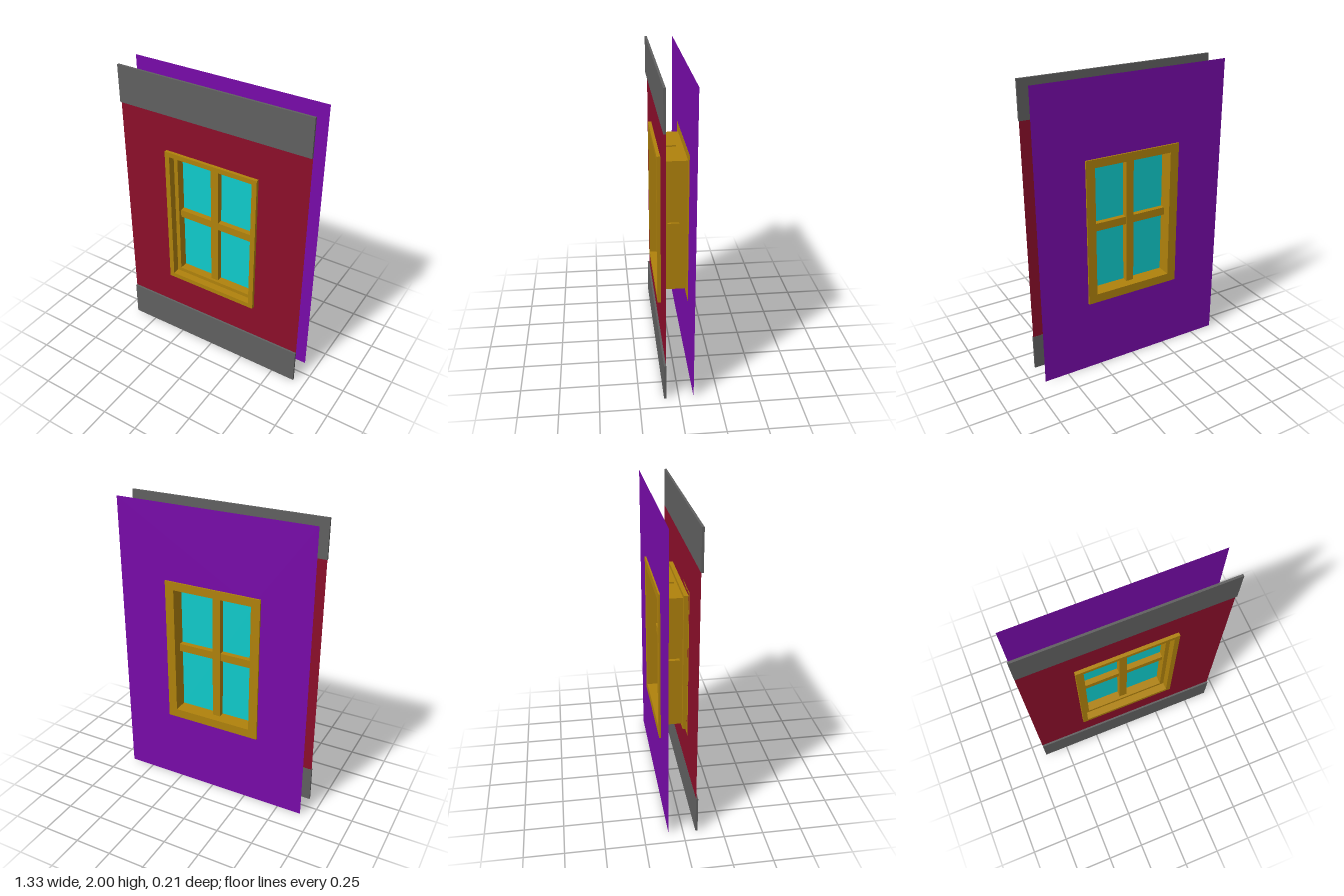
import * as THREE from 'three';

const material = (color) => new THREE.MeshStandardMaterial({ color, side: THREE.DoubleSide, flatShading: true });

// Rectangle given as [x0, y0, x1, y1]
const OUTER = [-0.333, 0.5, 0.333, 1.5];
const RECESS = [-0.3, 0.533, 0.3, 1.468];
const OPENING = [-0.272, 0.56, 0.272, 1.445];

function trace(path, [x0, y0, x1, y1]) {
  path.moveTo(x0, y0);
  path.lineTo(x1, y0);
  path.lineTo(x1, y1);
  path.lineTo(x0, y1);
  path.closePath();
  return path;
}

export function createModel() {
  const group = new THREE.Group();
  const wood = material(0xb0820c);
  const grey = material(0x606060);
  const red = material(0x8c0e2a);
  const purple = material(0x780aaa);
  const glass = material(0x10cccc);

  const add = (name, geometry, mat) => {
    const mesh = new THREE.Mesh(geometry, mat);
    mesh.name = name;
    group.add(mesh);
    return mesh;
  };

  // Flat sheet, optionally with a rectangular hole
  const sheet = (name, rect, hole, z, mat) => {
    const shape = trace(new THREE.Shape(), rect);
    if (hole) shape.holes.push(trace(new THREE.Path(), hole));
    add(name, new THREE.ShapeGeometry(shape).translate(0, 0, z), mat);
  };

  // Solid rectangular ring
  const ring = (name, rect, hole, z0, z1) => {
    const shape = trace(new THREE.Shape(), rect);
    shape.holes.push(trace(new THREE.Path(), hole));
    const geometry = new THREE.ExtrudeGeometry(shape, { depth: z1 - z0, bevelEnabled: false });
    add(name, geometry.translate(0, 0, z0), wood);
  };

  // Thin four-sided lining, open at both ends
  const lining = (name, [x0, y0, x1, y1], z0, z1) => {
    const geometry = new THREE.CylinderGeometry(Math.SQRT1_2, Math.SQRT1_2, 1, 4, 1, true)
      .rotateY(Math.PI / 4)
      .rotateX(Math.PI / 2)
      .scale(x1 - x0, y1 - y0, z1 - z0)
      .translate((x0 + x1) / 2, (y0 + y1) / 2, (z0 + z1) / 2);
    add(name, geometry, wood);
  };

  const box = (name, [x0, y0, x1, y1], z0, z1, mat) => {
    const geometry = new THREE.BoxGeometry(x1 - x0, y1 - y0, z1 - z0);
    geometry.translate((x0 + x1) / 2, (y0 + y1) / 2, (z0 + z1) / 2);
    add(name, geometry, mat);
  };

  // Outer and inner walls
  sheet('frontWall', [-0.667, 0.25, 0.667, 1.75], RECESS, 0.081, red);
  sheet('backWall', [-0.667, 0, 0.667, 2], OPENING, -0.093, purple);

  // Concrete bands above and below the front wall
  box('lowerBand', [-0.667, 0, 0.667, 0.25], 0.08, 0.094, grey);
  box('upperBand', [-0.667, 1.75, 0.667, 2], 0.08, 0.094, grey);

  // Window surround: trims, stepped recess and lining
  ring('frontTrim', OUTER, RECESS, 0.081, 0.103);
  ring('backTrim', OUTER, OPENING, -0.103, -0.092);
  lining('recessLining', RECESS, 0.054, 0.082);
  sheet('recessStep', RECESS, OPENING, 0.054, wood);
  lining('windowLining', OPENING, -0.093, 0.054);

  // Crossed glazing bars and glass
  box('verticalBar', [-0.032, 0.56, 0.021, 1.455], -0.047, 0.037, wood);
  box('horizontalBar', [-0.297, 0.985, 0.287, 1.038], -0.04, 0.033, wood);
  sheet('glass', OPENING, null, -0.004, glass);

  return group;
}
